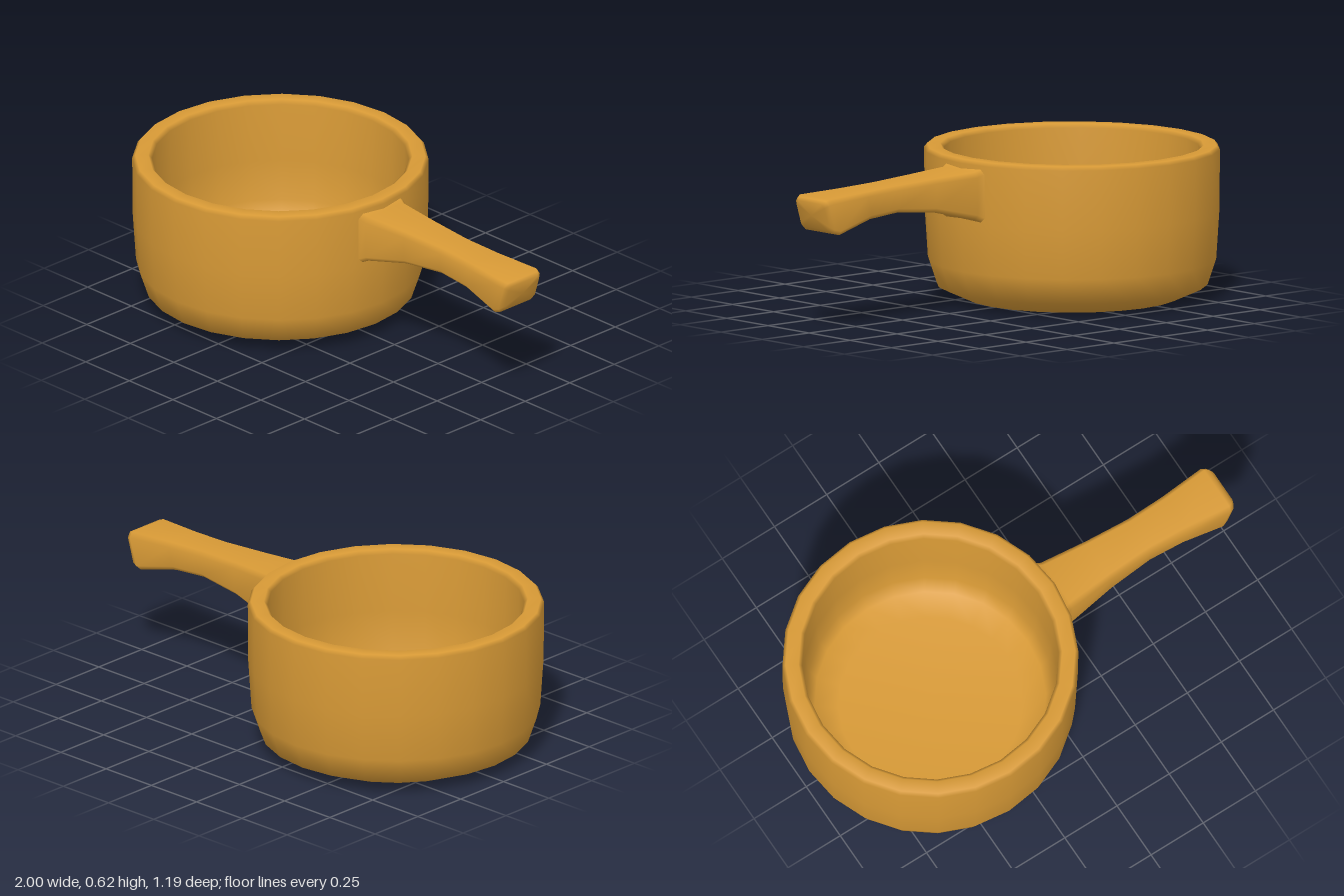
import * as THREE from 'three';

const clay = new THREE.MeshStandardMaterial({ color: 0xd89a36 });
clay.name = 'ochre';

// Pot: one closed profile turned round 24 sides, outside then inside
function makeBowl() {
  const profile = [
    [0, 0], [0.43, 0.003], [0.545, 0.055], [0.58, 0.16], [0.593, 0.36], [0.595, 0.605],
    [0.582, 0.62], [0.53, 0.62], [0.515, 0.604],
    [0.512, 0.36], [0.5, 0.19], [0.465, 0.12], [0.37, 0.08], [0, 0.08],
  ].map(([r, y]) => new THREE.Vector2(r, y));
  const bowl = new THREE.Mesh(new THREE.LatheGeometry(profile, 24), clay);
  bowl.name = 'bowl';
  bowl.position.x = -0.405;
  return bowl;
}

// Handle: bevelled rectangles lofted along x
function makeHandle() {
  // top x, top y, bottom x, bottom y, half width, bevel
  const sections = [
    [0.14, 0.605, 0.14, 0.36, 0.14, 0.02],
    [0.175, 0.59, 0.175, 0.375, 0.125, 0.02],
    [0.2, 0.58, 0.2, 0.387, 0.116, 0.02],
    [0.4, 0.572, 0.4, 0.436, 0.096, 0.018],
    [0.6, 0.563, 0.59, 0.454, 0.085, 0.018],
    [0.77, 0.556, 0.74, 0.444, 0.092, 0.018],
    [0.967, 0.549, 0.92, 0.4, 0.11, 0.018],
    [0.985, 0.543, 0.945, 0.406, 0.102, 0.018],
    [0.997, 0.53, 0.965, 0.422, 0.085, 0.015],
  ];
  const pos = [], index = [];
  sections.forEach(([xt, yt, xb, yb, w, b]) => {
    const ring = [
      [yt, w - b], [yt - b, w], [yb + b, w], [yb, w - b],
      [yb, b - w], [yb + b, -w], [yt - b, -w], [yt, b - w],
    ];
    for (const [y, z] of ring) {
      pos.push(THREE.MathUtils.mapLinear(y, yb, yt, xb, xt), y, z);
    }
  });
  for (let s = 0; s < sections.length - 1; s++) {
    for (let i = 0; i < 8; i++) {
      const a = s * 8 + i, b = s * 8 + (i + 1) % 8;
      index.push(a, b, a + 8, b, b + 8, a + 8);
    }
  }
  // Slightly domed end cap
  const last = (sections.length - 1) * 8;
  pos.push(0.988, 0.476, 0);
  for (let i = 0; i < 8; i++) index.push(last + 8, last + i, last + (i + 1) % 8);

  const geometry = new THREE.BufferGeometry();
  geometry.setAttribute('position', new THREE.Float32BufferAttribute(pos, 3));
  geometry.setIndex(index);
  geometry.computeVertexNormals();
  const handle = new THREE.Mesh(geometry, clay);
  handle.name = 'handle';
  return handle;
}

export function createModel() {
  const group = new THREE.Group();
  group.name = 'saucepan';
  group.add(makeBowl(), makeHandle());
  return group;
}
